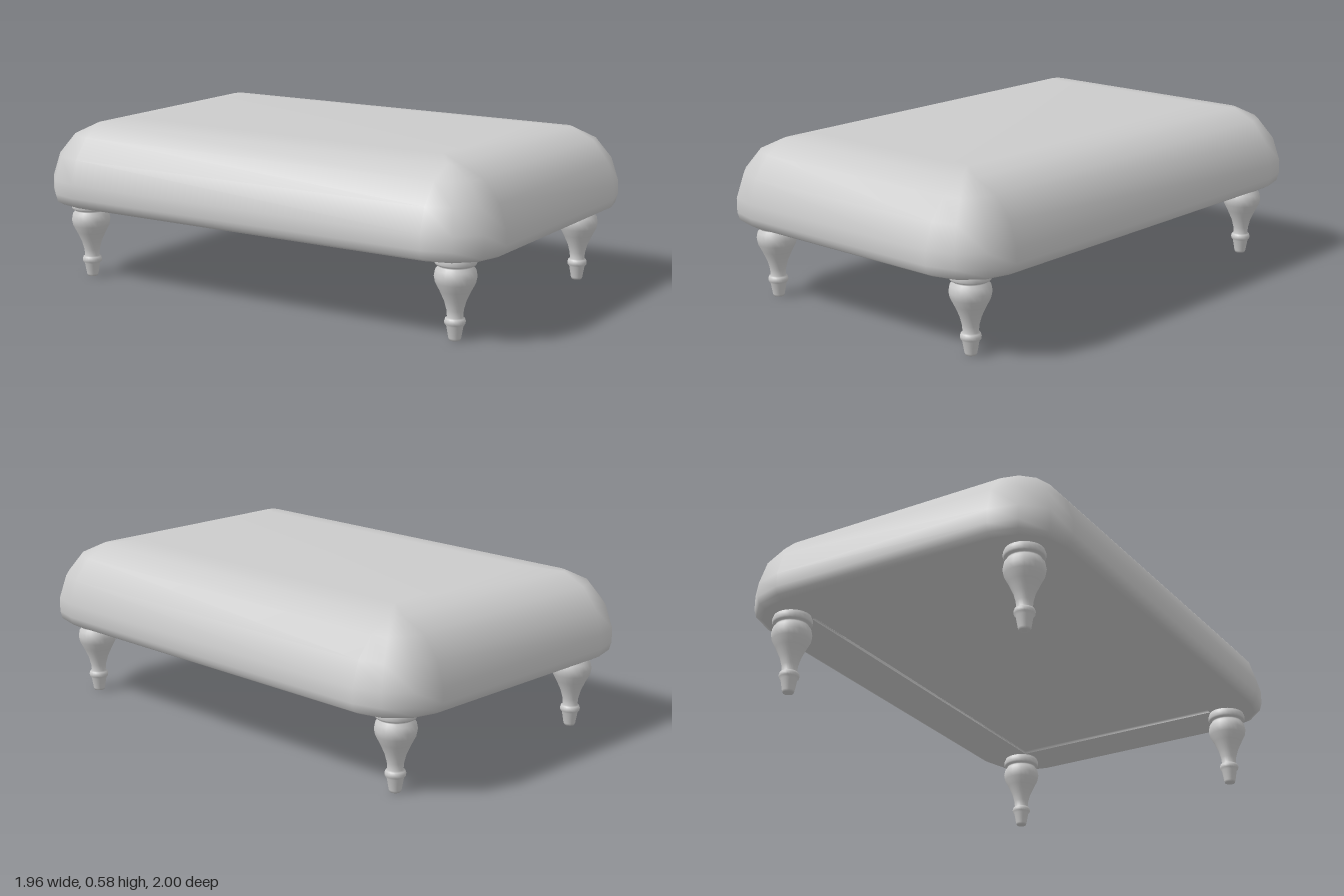
import * as THREE from 'three';
import { mergeVertices } from 'three/addons/utils/BufferGeometryUtils.js';

const HALF_L = 0.913, HALF_W = 0.613, CORNER = 0.2, SEGS = 3;

// Rounded rectangle moved inwards by `inset`, at height y
function ring(inset, y) {
  const r = Math.max(CORNER - inset, 0);
  const cx = HALF_L - inset - r, cz = HALF_W - inset - r;
  const points = [];
  [[1, 1], [-1, 1], [-1, -1], [1, -1]].forEach(([sx, sz], q) => {
    for (let i = 0; i <= SEGS; i++) {
      const a = (q + i / SEGS) * Math.PI / 2;
      points.push([sx * cx + r * Math.cos(a), y, sz * cz + r * Math.sin(a)]);
    }
  });
  return points;
}

// Skin between stacked rings, from the bottom up, with optional end caps
function loft(profile, capBottom, capTop) {
  const rings = profile.map(([inset, y]) => ring(inset, y));
  const n = rings[0].length, pos = rings.flat(), index = [];
  for (let k = 0; k < rings.length - 1; k++) {
    for (let i = 0; i < n; i++) {
      const j = (i + 1) % n, a = k * n, b = a + n;
      index.push(a + i, b + i, b + j, a + i, b + j, a + j);
    }
  }
  const cap = (start, y, up) => {
    const c = pos.push([0, y, 0]) - 1;
    for (let i = 0; i < n; i++) {
      const j = (i + 1) % n;
      index.push(c, start + (up ? j : i), start + (up ? i : j));
    }
  };
  if (capBottom) cap(0, profile[0][1], false);
  if (capTop) cap((rings.length - 1) * n, profile[profile.length - 1][1], true);
  let geo = new THREE.BufferGeometry();
  geo.setAttribute('position', new THREE.Float32BufferAttribute(pos.flat(), 3));
  geo.setIndex(index);
  geo = mergeVertices(geo, 1e-4);
  geo.computeVertexNormals();
  return geo;
}

export function createModel() {
  const model = new THREE.Group();
  model.name = 'footstool';
  const material = new THREE.MeshStandardMaterial({ color: 0xcccccc });
  const add = (name, geometry) => {
    const mesh = new THREE.Mesh(geometry, material);
    mesh.name = name;
    model.add(mesh);
    return mesh;
  };

  // Padded seat: underside border, upright side, domed top edge
  add('cushion', loft([
    [0.2, 0.284], [0.03, 0.28], [0.008, 0.292], [0, 0.32], [0, 0.37],
    [0.027, 0.455], [0.085, 0.527], [0.17, 0.567], [0.27, 0.58],
  ], false, true));

  // Slightly recessed board under the seat
  add('undersidePanel', loft([[0.2, 0.296], [0.2, 0.284]], true, false));
  const lip = add('panelLip', loft([[0.2, 0.284], [0.2, 0.296]], false, false));
  lip.material = new THREE.MeshStandardMaterial({ color: 0xcccccc, side: THREE.DoubleSide });

  // Turned leg: foot, ring, slim neck, bulb and top disc
  const profile = [
    [0, 0], [0.018, 0], [0.021, 0.008], [0.028, 0.048], [0.034, 0.055], [0.035, 0.064],
    [0.032, 0.073], [0.026, 0.077], [0.028, 0.1], [0.036, 0.13], [0.052, 0.165],
    [0.066, 0.192], [0.07, 0.213], [0.066, 0.234], [0.057, 0.245], [0.057, 0.25],
    [0.066, 0.252], [0.069, 0.258], [0.069, 0.27], [0.066, 0.276], [0.06, 0.296],
  ].map(([r, y]) => new THREE.Vector2(r, y));
  const legGeometry = new THREE.LatheGeometry(profile, 24);
  for (const [sx, endName] of [[1, 'front'], [-1, 'back']]) {
    for (const [sz, sideName] of [[1, 'Right'], [-1, 'Left']]) {
      add(`${endName}${sideName}Leg`, legGeometry).position.set(sx * 0.759, 0, sz * 0.46);
    }
  }

  // The stool stands diagonally
  model.rotation.y = -THREE.MathUtils.degToRad(47.3);
  const root = new THREE.Group();
  root.name = 'footstoolRoot';
  root.add(model);
  return root;
}
